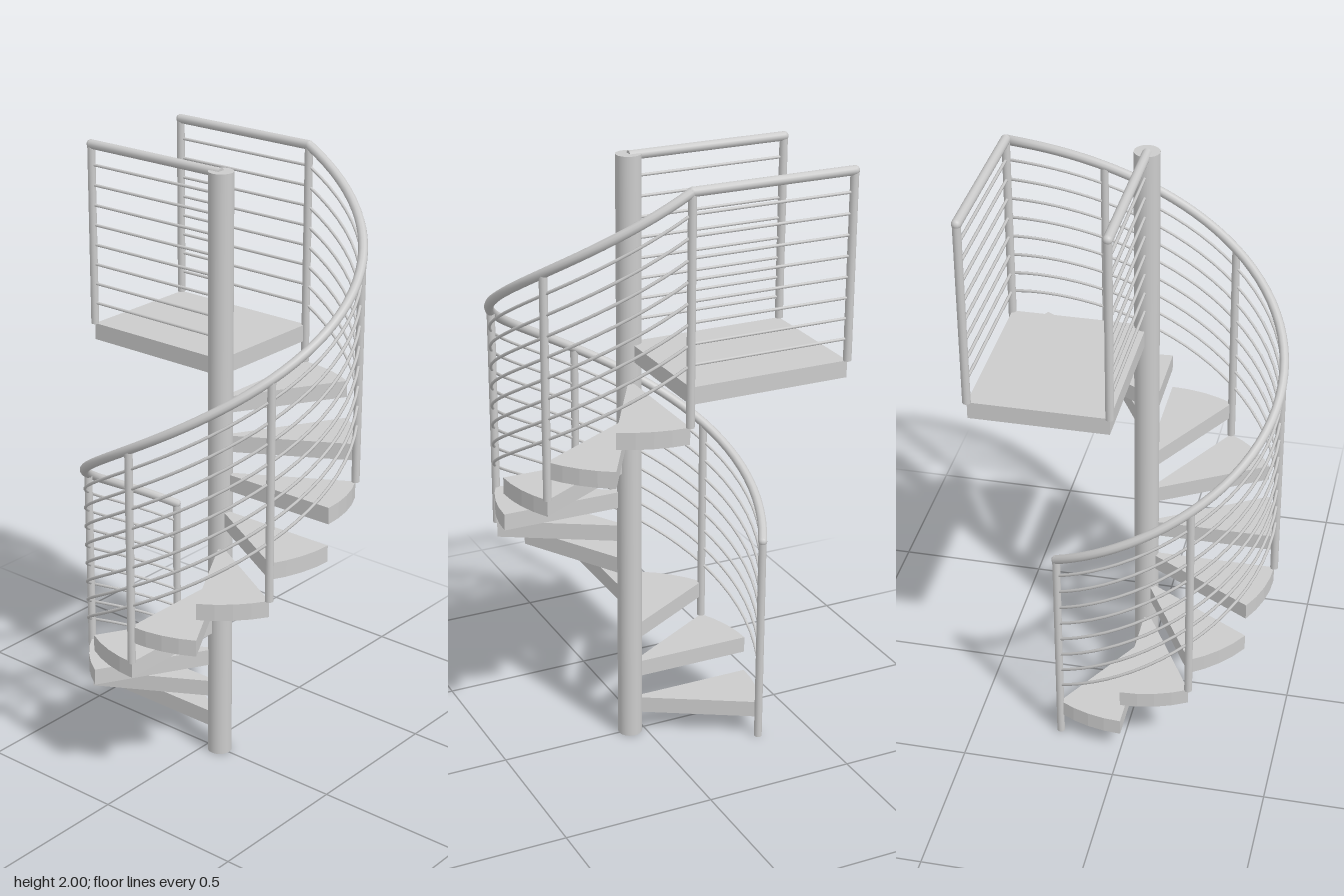
import * as THREE from 'three';

const AXIS_Z = 0.05;             // position of the centre pole
const R = 0.43;                  // stair radius
const RISE = 0.1264;             // height of one step
const TURN = Math.PI / 6;        // angle of one step
const STEPS = 10;
const THICK = 0.055;
const RAIL_START = 0.72;         // handrail height above its post foot
const RAIL_R = 0.015, POST_R = 0.013, BAR_R = 0.005;
const BARS = 8, BAR_GAP = 0.0653;
const LANDING_Y = RISE * (STEPS + 1);
const RAIL_TOP = RAIL_START + RISE * STEPS;
const BACK_Z = -0.48;

const material = new THREE.MeshStandardMaterial({ color: 0xcccccc });
const openMaterial = new THREE.MeshStandardMaterial({ color: 0xcccccc, side: THREE.DoubleSide });

// Point on the spiral after a number of steps
function spiral(step, y, r = R) {
  const a = TURN - step * TURN;
  return new THREE.Vector3(r * Math.sin(a), y, AXIS_Z - r * Math.cos(a));
}

class Helix extends THREE.Curve {
  constructor(y0) { super(); this.y0 = y0; }
  getPoint(t, target = new THREE.Vector3()) {
    return target.copy(spiral(t * STEPS, this.y0 + t * STEPS * RISE));
  }
}

export function createModel() {
  const group = new THREE.Group();

  const add = (name, geometry, mat = material) => {
    const mesh = new THREE.Mesh(geometry, mat);
    mesh.name = name;
    group.add(mesh);
    return mesh;
  };
  // Upright cylinder from y0 to y1
  const upright = (name, x, z, y0, y1, r, sides = 12) =>
    add(name, new THREE.CylinderGeometry(r, r, y1 - y0, sides)).position.set(x, (y0 + y1) / 2, z);
  const joint = (name, x, y, z, r) =>
    add(name, new THREE.SphereGeometry(r, 12, 8)).position.set(x, y, z);

  upright('centrePole', 0, AXIS_Z, 0, 1.99, 0.04, 24);

  // Wedge treads
  for (let i = 0; i < STEPS; i++) {
    const shape = new THREE.Shape();
    shape.moveTo(0, -AXIS_Z);
    for (let k = 0; k <= 4; k++) {
      const p = spiral(i + k / 4, 0);
      shape.lineTo(p.x, -p.z);
    }
    shape.closePath();
    const geometry = new THREE.ExtrudeGeometry(shape, { depth: THICK, bevelEnabled: false });
    geometry.rotateX(-Math.PI / 2);
    add('tread', geometry).position.y = RISE * (i + 1) - THICK;
  }

  // Landing slab
  const depth = AXIS_Z - BACK_Z;
  const midZ = (AXIS_Z + BACK_Z) / 2;
  add('landing', new THREE.BoxGeometry(R, THICK, depth))
    .position.set(R / 2, LANDING_Y - THICK / 2, midZ);

  // Spiral handrail and the thin bars below it
  add('spiralHandrail', new THREE.TubeGeometry(new Helix(RAIL_START), 60, RAIL_R, 10), openMaterial);
  for (let k = 1; k <= BARS; k++) {
    add('spiralBar', new THREE.TubeGeometry(new Helix(RAIL_START - k * BAR_GAP), 50, BAR_R, 6), openMaterial);
  }

  // Posts along the spiral, every second step
  for (let s = 0; s <= STEPS; s += 2) {
    const p = spiral(s, s * RISE);
    upright('spiralPost', p.x, p.z, p.y, p.y + RAIL_START, POST_R);
  }
  const start = spiral(0, RAIL_START);
  joint('handrailEnd', start.x, start.y, start.z, RAIL_R);

  // Straight railings on both sides of the landing
  for (const x of [0, R]) {
    const along = (name, y, r, sides) => {
      const geometry = new THREE.CylinderGeometry(r, r, depth, sides);
      geometry.rotateX(Math.PI / 2);
      add(name, geometry).position.set(x, y, midZ);
    };
    along('landingHandrail', RAIL_TOP, RAIL_R, 12);
    for (let k = 1; k <= BARS; k++) along('landingBar', RAIL_TOP - k * BAR_GAP, BAR_R, 6);
    upright('landingPost', x, BACK_Z, LANDING_Y, RAIL_TOP, POST_R);
    joint('railJoint', x, RAIL_TOP, BACK_Z, RAIL_R);
  }
  joint('railJoint', R, RAIL_TOP, AXIS_Z, RAIL_R);

  return group;
}
